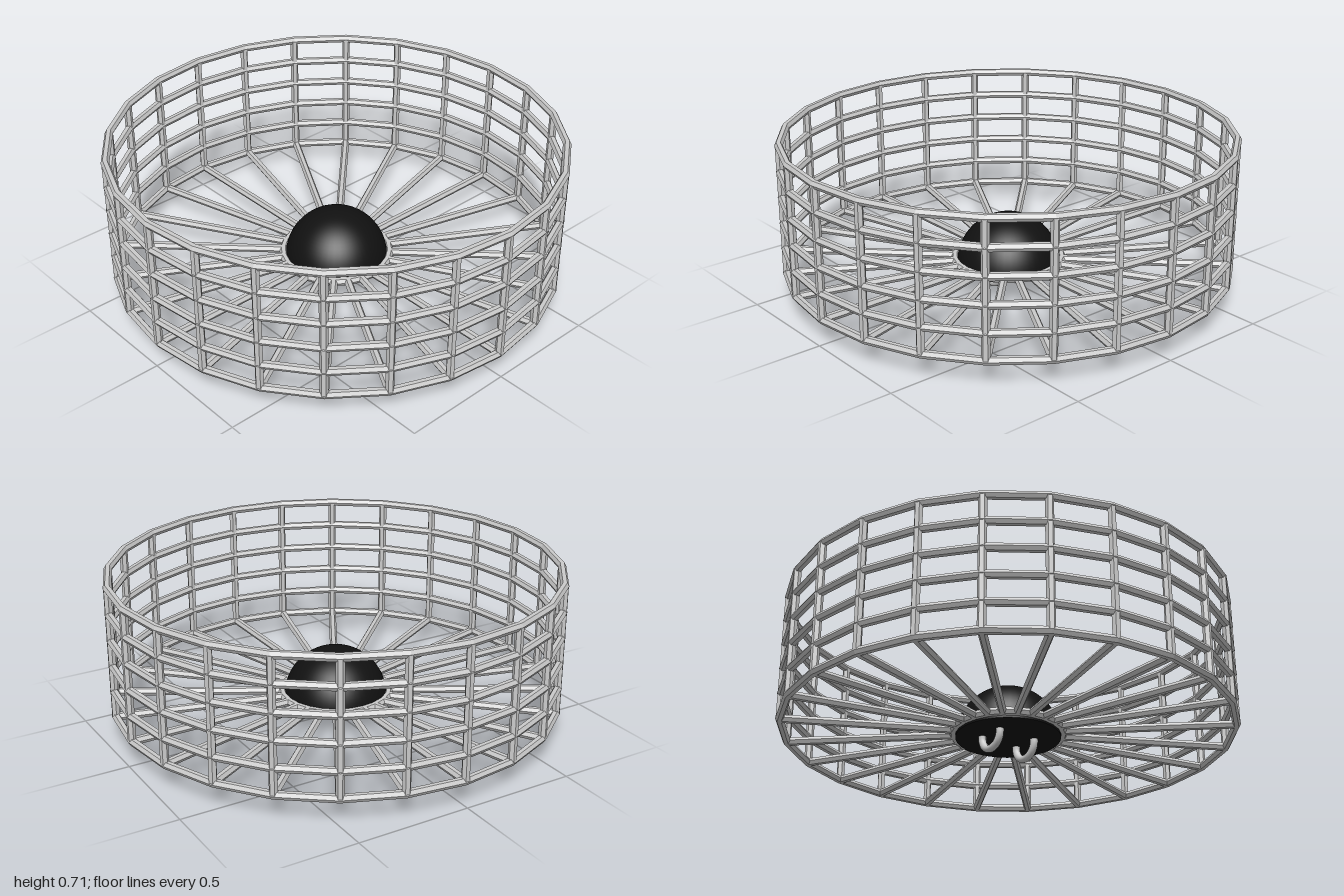
import * as THREE from 'three';

const SIDES = 24, RADIUS = 0.98, BAR = 0.018, HUB = 0.24;
const BOTTOM = 0.112, TOP = 0.695, RINGS = 6;

export function createModel() {
  const model = new THREE.Group();
  const wire = new THREE.MeshStandardMaterial({ color: 0xcccccc, flatShading: true });
  const smooth = new THREE.MeshStandardMaterial({ color: 0xcccccc });
  const black = new THREE.MeshStandardMaterial({ color: 0x111111 });

  const add = (name, geometry, material, y = 0, z = 0) => {
    const mesh = new THREE.Mesh(geometry, material);
    mesh.name = name;
    mesh.position.set(0, y, z);
    model.add(mesh);
    return mesh;
  };

  // Stacked polygonal hoops of the basket wall
  const hoop = new THREE.TorusGeometry(RADIUS, BAR, 6, SIDES).rotateX(Math.PI / 2);
  for (let i = 0; i < RINGS; i++) {
    add('wallHoop', hoop, wire, BOTTOM + (TOP - BOTTOM) * i / (RINGS - 1));
  }

  // Uprights on every corner, and floor spokes running in to the hub
  const upright = new THREE.CylinderGeometry(BAR, BAR, TOP - BOTTOM, 6)
    .translate(RADIUS, (TOP + BOTTOM) / 2, 0);
  const spoke = new THREE.CylinderGeometry(BAR, BAR, RADIUS - HUB, 6)
    .rotateZ(Math.PI / 2).translate((RADIUS + HUB) / 2, BOTTOM, 0);
  for (let i = 0; i < SIDES; i++) {
    const angle = i / SIDES * Math.PI * 2;
    add('upright', upright, wire).rotation.y = angle;
    add('floorSpoke', spoke, wire).rotation.y = angle;
  }

  // Hub ring around the dome
  add('hubRing', new THREE.TorusGeometry(HUB, BAR, 6, SIDES).rotateX(Math.PI / 2), wire, BOTTOM);

  // Black half-dome with a flat underside
  add('dome', new THREE.SphereGeometry(0.229, 48, 20, 0, Math.PI * 2, 0, Math.PI / 2), black, 0.088);
  add('domeBase', new THREE.CircleGeometry(0.229, 48).rotateX(Math.PI / 2), black, 0.088);

  // Two half-loop hooks under the dome
  const hook = new THREE.TorusGeometry(0.06, 0.017, 12, 24, Math.PI).rotateZ(Math.PI);
  for (const z of [-0.095, 0.095]) {
    add('hook', hook, smooth, 0.077, z);
    // Short legs joining the loop to the base
    for (const x of [-0.06, 0.06]) {
      add('hookLeg', new THREE.CylinderGeometry(0.017, 0.017, 0.02, 12), smooth, 0.087, z).position.x = x;
    }
  }
  return model;
}
